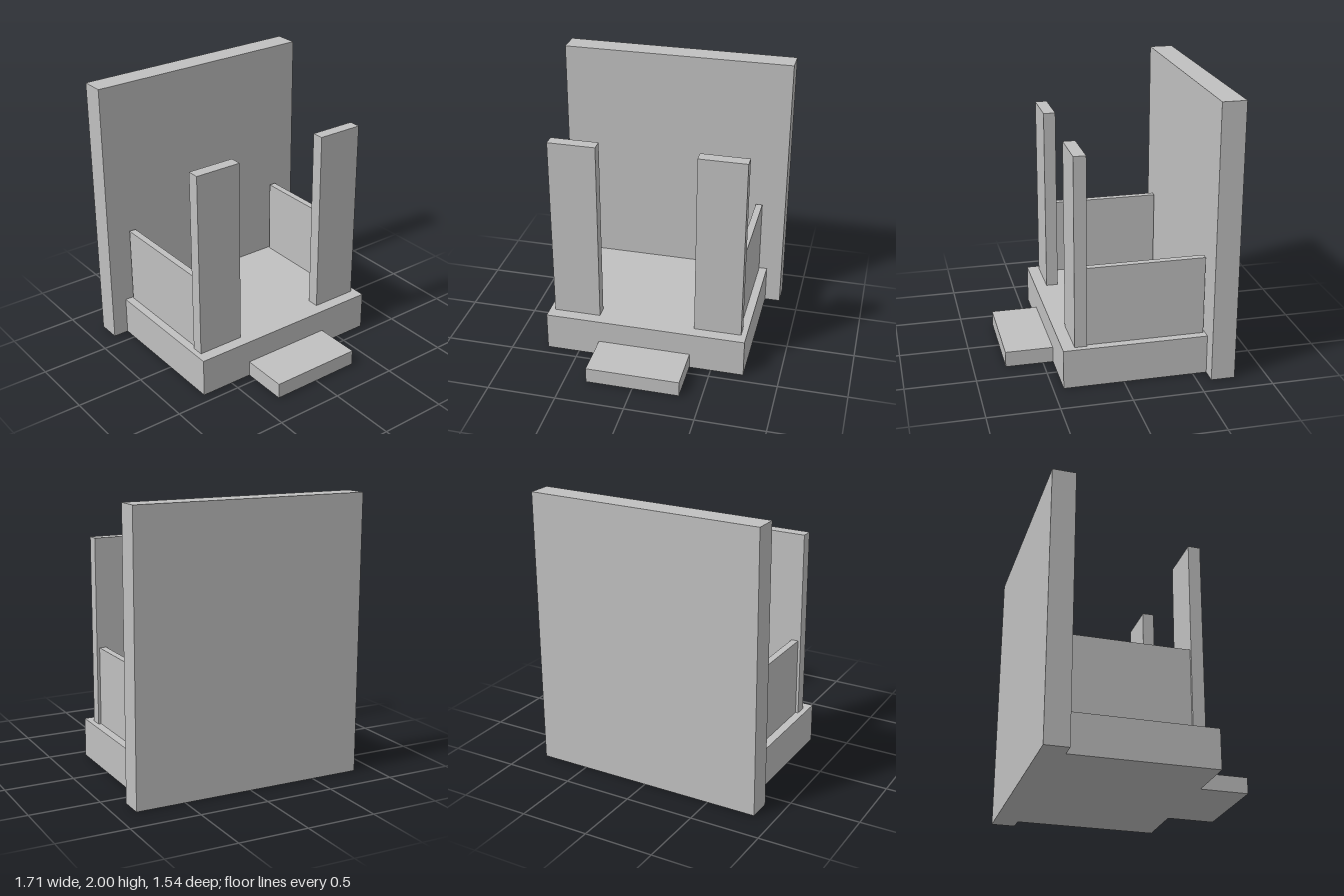
import * as THREE from 'three';

export function createModel() {
  const model = new THREE.Group();
  const grey = new THREE.MeshStandardMaterial({ color: 0xc0c0c0 });
  grey.name = 'grey';

  // Adds a named box spanning the given [min, max] ranges
  function block(name, [x0, x1], [y0, y1], [z0, z1]) {
    const mesh = new THREE.Mesh(new THREE.BoxGeometry(x1 - x0, y1 - y0, z1 - z0), grey);
    mesh.position.set((x0 + x1) / 2, (y0 + y1) / 2, (z0 + z1) / 2);
    mesh.name = name;
    model.add(mesh);
  }

  const floorY = 0.285;

  // House wall, porch floor and front step
  block('backWall', [-0.855, 0.855], [0, 2], [-0.77, -0.6]);
  block('porchFloor', [-0.74, 0.74], [0, floorY], [-0.6, 0.427]);
  block('frontStep', [-0.342, 0.342], [0, 0.115], [0.427, 0.77]);

  // Mirrored posts and side railings
  for (const [side, s] of [['left', 1], ['right', -1]]) {
    const span = (a, b) => (s > 0 ? [a, b] : [-b, -a]);
    block(side + 'Post', span(0.355, 0.7), [floorY, 1.655], [0.253, 0.34]);
    block(side + 'Railing', span(0.63, 0.68), [floorY, 0.857], [-0.587, 0.253]);
  }

  return model;
}
